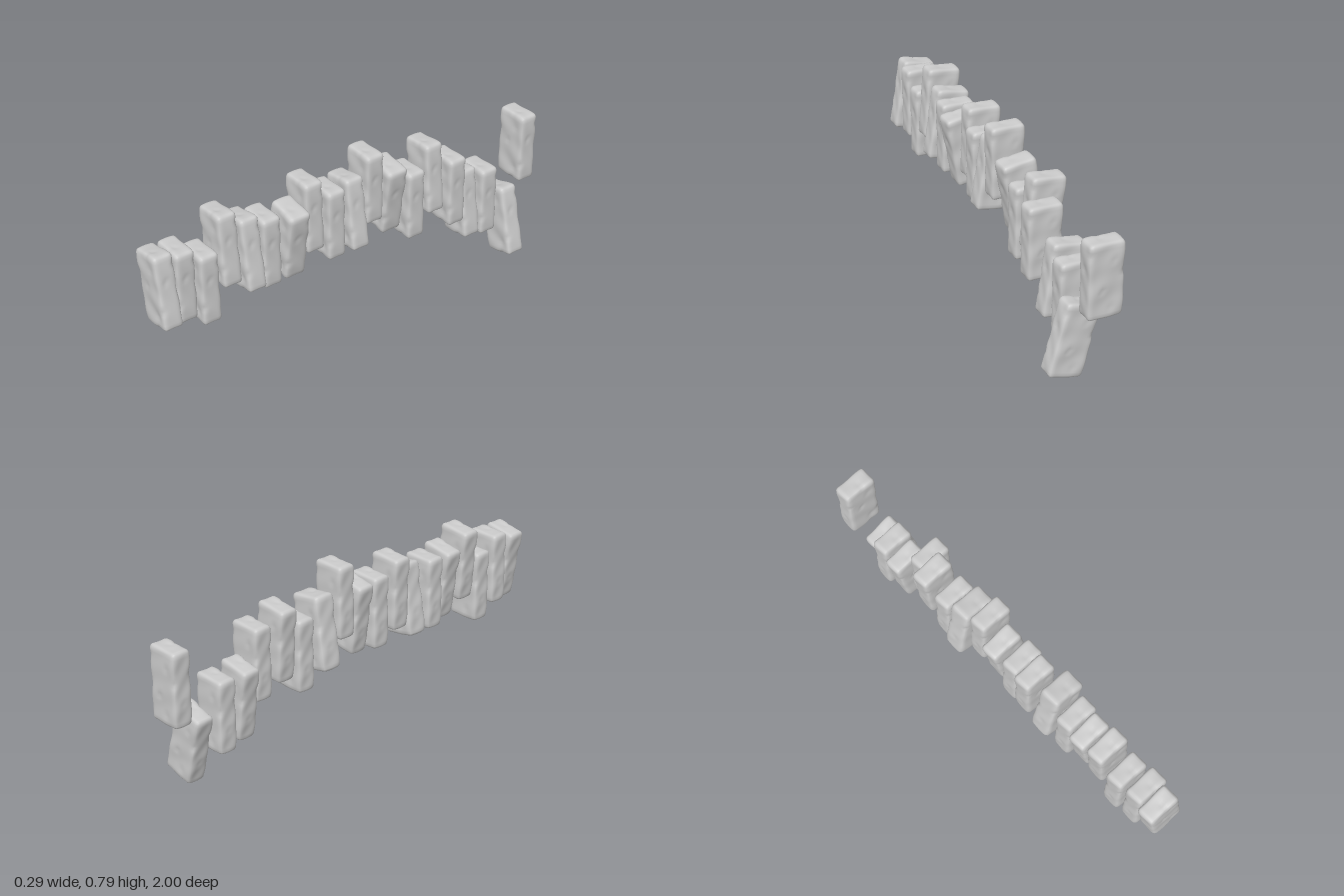
import * as THREE from 'three';
import { mergeVertices } from 'three/addons/utils/BufferGeometryUtils.js';

const W = 0.155, H = 0.334, D = 0.088, R = 0.016;

// dents pressed into the faces: x, y, z, radius, depth
const DENTS = [
  [-0.015, 0.02, 0.044, 0.018, 0.005], [0.03, -0.11, 0.044, 0.03, 0.004],
  [0.03, 0.1, 0.044, 0.025, 0.003], [-0.03, 0.09, -0.044, 0.022, 0.004],
  [0.02, -0.04, -0.044, 0.02, 0.005], [-0.02, -0.12, -0.044, 0.028, 0.004],
  [0.077, 0.05, 0.005, 0.02, 0.004], [-0.077, -0.06, 0, 0.022, 0.004],
  [0.01, 0.167, 0.01, 0.022, 0.004], [-0.02, -0.167, 0, 0.025, 0.004],
  [0.077, -0.08, 0.044, 0.025, 0.006], [-0.077, 0.07, 0.044, 0.022, 0.005],
  [0.01, 0.167, 0.044, 0.02, 0.005], [-0.077, 0.03, -0.044, 0.024, 0.006],
  [0.077, 0.12, -0.044, 0.02, 0.005], [0.02, -0.167, 0.044, 0.025, 0.005],
];

// worn block: a fine box with rounded edges, gentle lumps and dents
function stoneGeometry() {
  let g = new THREE.BoxGeometry(W, H, D, 14, 24, 10);
  g.deleteAttribute('uv');
  g.deleteAttribute('normal');
  g = mergeVertices(g, 1e-5);
  const inner = new THREE.Vector3(W / 2 - R, H / 2 - R, D / 2 - R);
  const low = inner.clone().negate();
  const p = new THREE.Vector3(), core = new THREE.Vector3(), n = new THREE.Vector3();
  const pos = g.attributes.position;
  for (let i = 0; i < pos.count; i++) {
    p.fromBufferAttribute(pos, i);
    core.copy(p).clamp(low, inner);
    n.copy(p).sub(core).normalize();
    let push = R + 0.0014 * Math.sin(p.x * 48 + p.y * 31 + 1)
      + 0.0012 * Math.sin(p.y * 57 - p.z * 70 + p.x * 20);
    for (const [x, y, z, r, depth] of DENTS) {
      const d2 = (p.x - x) ** 2 + (p.y - y) ** 2 + (p.z - z) ** 2;
      push -= depth * Math.exp(-2.5 * d2 / (r * r));
    }
    p.copy(core).addScaledVector(n, push);
    pos.setXYZ(i, p.x, p.y, p.z);
  }
  g.computeVertexNormals();
  return g;
}

// each stone, front to back: centre x, y, z and sideways lean
const STONES = [
  [-0.025, 0.512, 0.953, 0.17], [-0.03, 0.51, 0.865, 0],
  [-0.028, 0.452, 0.755, 0.01], [-0.037, 0.592, 0.65, 0.09],
  [-0.025, 0.53, 0.545, 0.16], [-0.03, 0.508, 0.45, 0],
  [-0.022, 0.505, 0.328, -0.17], [-0.05, 0.58, 0.22, 0.03],
  [-0.03, 0.515, 0.12, 0], [-0.025, 0.522, 0.013, 0.16],
  [-0.028, 0.622, -0.08, -0.01], [-0.045, 0.515, -0.2, -0.16],
  [-0.03, 0.45, -0.31, 0], [-0.04, 0.538, -0.42, 0.08],
  [0.008, 0.463, -0.51, 0], [-0.028, 0.335, -0.62, 0.14],
  [-0.026, 0.312, -0.73, 0.01], [0.033, 0.183, -0.83, 0.25],
  [-0.03, 0.513, -0.953, 0],
];

export function createModel() {
  const model = new THREE.Group();
  model.name = 'rowOfStones';
  const geometry = stoneGeometry();
  const material = new THREE.MeshStandardMaterial({ color: 0xcccccc });
  STONES.forEach(([x, y, z, lean], i) => {
    const stone = new THREE.Mesh(geometry, material);
    stone.name = `stone${i + 1}`;
    stone.position.set(x, y, z);
    stone.rotation.z = lean;
    // stones leaning the other way are a little thicker
    if (lean < -0.1) stone.scale.z = 1.15;
    model.add(stone);
  });
  return model;
}
